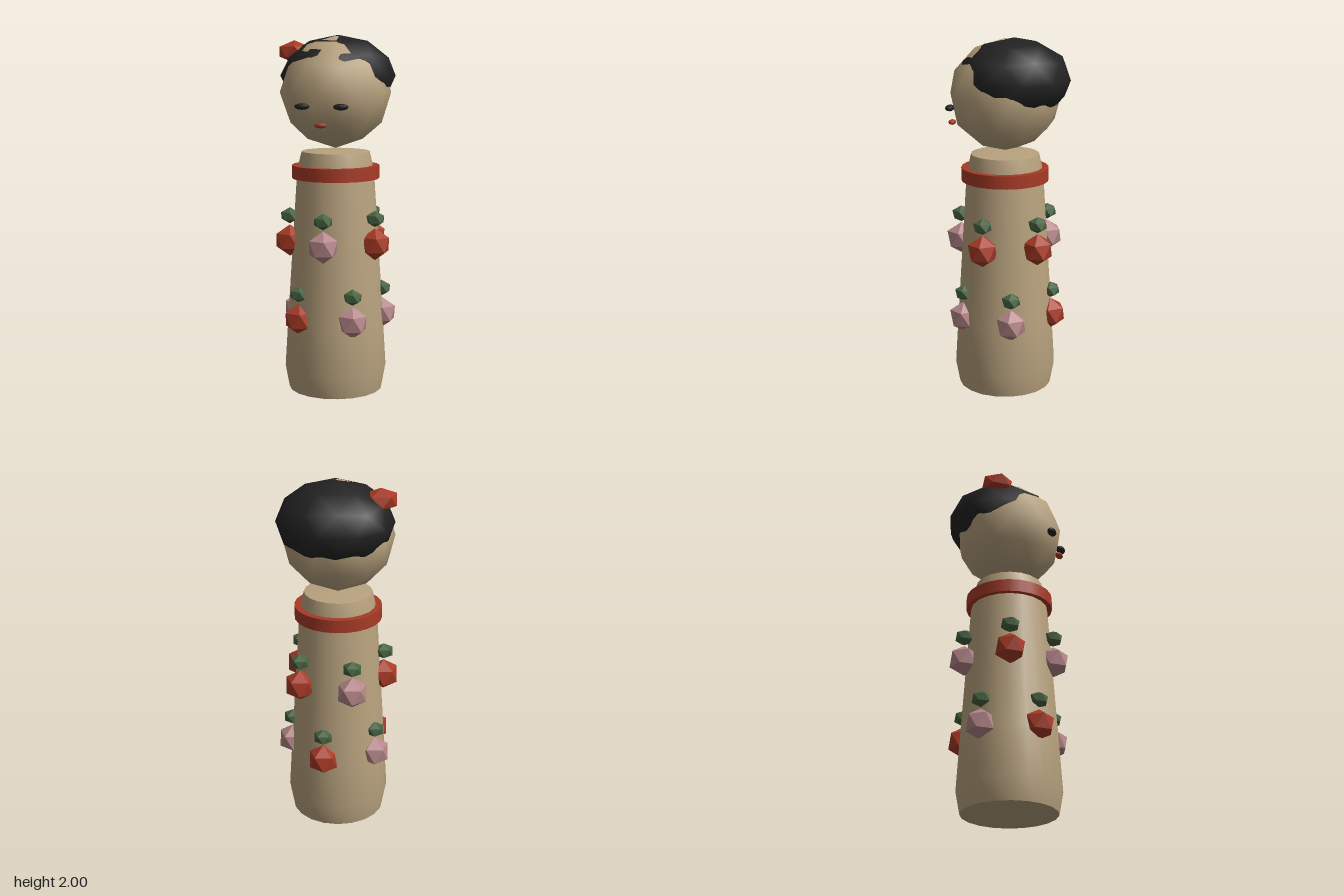
import * as THREE from 'three';
import { toCreasedNormals } from 'three/addons/utils/BufferGeometryUtils.js';

const material = (name, color) => {
  const m = new THREE.MeshStandardMaterial({ color });
  m.name = name;
  return m;
};

// Icosahedron standing on a vertex: faceted at detail 0, smooth at detail 1
const ico = (detail) =>
  new THREE.IcosahedronGeometry(1, detail).rotateZ(-Math.atan(2 / (1 + Math.sqrt(5))));

export function createModel() {
  const wood = material('pale wood', 0xb8a27e);
  const red = material('red paint', 0xa83a26);
  const pink = material('pink paint', 0xb58689);
  const green = material('leaf green', 0x456240);
  const black = material('black lacquer', 0x222222);

  const model = new THREE.Group();
  model.name = 'woodenDoll';
  const faceted = ico(0);
  const smooth = ico(1);
  const axisZ = 0.02;

  const add = (name, geometry, mat, position, scale = [1, 1, 1], parent = model) => {
    const mesh = new THREE.Mesh(geometry, mat);
    mesh.name = name;
    mesh.position.set(...position);
    mesh.scale.set(...scale);
    parent.add(mesh);
    return mesh;
  };

  // Turned body with a slightly domed top
  const profile = [
    [0, 0], [0.265, 0], [0.288, 0.125], [0.271, 0.4], [0.219, 1.2],
    [0.209, 1.28], [0.191, 1.357], [0, 1.376],
  ].map(([r, y]) => new THREE.Vector2(r, y));
  const bodyGeometry = toCreasedNormals(new THREE.LatheGeometry(profile, 20), 0.6);
  add('body', bodyGeometry, wood, [0, 0, axisZ]);

  // Collar band
  add('collar', new THREE.CylinderGeometry(0.245, 0.245, 0.073, 24), red, [0, 1.244, axisZ]);

  // Head, with a flattened cap of hair that meets it in the hairline
  add('head', smooth, wood, [0, 1.685, axisZ], [0.31, 0.31, 0.31]);
  add('hair', smooth, black, [0, 1.775, -0.031], [0.323, 0.225, 0.314]);
  add('hairFlower', faceted, red, [-0.24, 1.907, 0.015], [0.097, 0.063, 0.097]);

  // Face
  for (const side of [-1, 1]) {
    add(side > 0 ? 'leftEye' : 'rightEye', smooth, black,
      [side * 0.108, 1.62, 0.306], [0.043, 0.018, 0.025]);
  }
  add('mouth', smooth, red, [0, 1.521, 0.321], [0.035, 0.015, 0.021]);

  // Two staggered rows of five flowers, each with a leaf bud above
  const flowers = new THREE.Group();
  flowers.name = 'flowers';
  model.add(flowers);
  const rows = [
    { y: 0.43, start: 108, first: 0 },
    { y: 0.852, start: 144, first: 1 },
  ];
  for (const { y, start, first } of rows) {
    for (let i = 0; i < 5; i++) {
      const a = THREE.MathUtils.degToRad(start + i * 72);
      const x = 0.26 * Math.sin(a);
      const z = 0.015 + 0.26 * Math.cos(a);
      const isRed = (i + first) % 2 === 1;
      add('flower', faceted, isRed ? red : pink, [x, y, z], [0.09, 0.09, 0.09], flowers);
      add('leaf', faceted, green, [x, y + 0.142, z], [0.057, 0.046, 0.057], flowers);
    }
  }
  return model;
}
